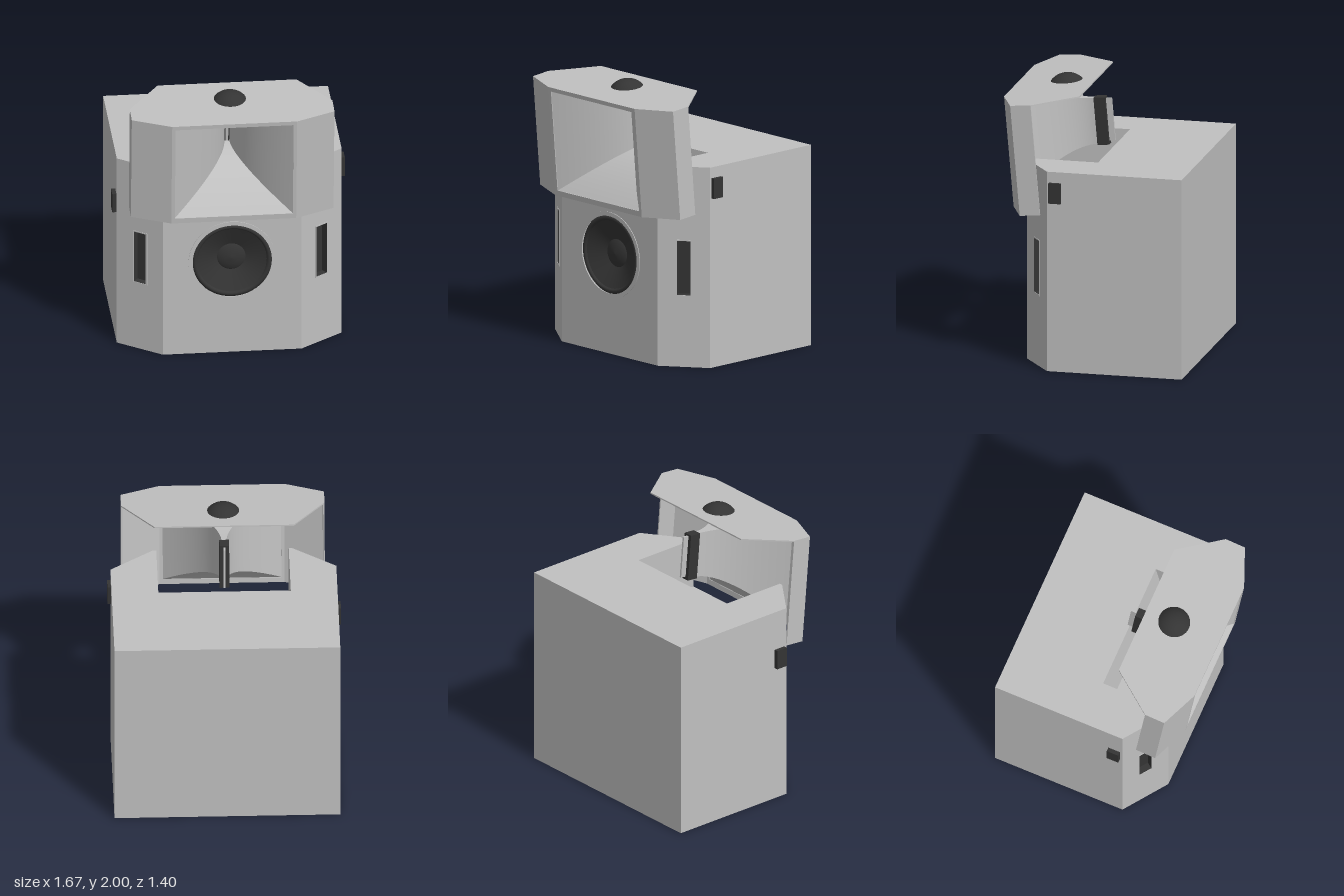
import * as THREE from 'three';

const shell = new THREE.MeshStandardMaterial({ color: 0xc0c0c0, side: THREE.DoubleSide });
shell.name = 'light grey shell';
const dark = new THREE.MeshStandardMaterial({ color: 0x343434, side: THREE.DoubleSide });
dark.name = 'charcoal';

function add(parent, name, geometry, material, x = 0, y = 0, z = 0) {
  const mesh = new THREE.Mesh(geometry, material);
  mesh.name = name;
  mesh.position.set(x, y, z);
  parent.add(mesh);
  return mesh;
}

const polygon = (pts) => new THREE.Shape(pts.map(([x, y]) => new THREE.Vector2(x, y)));

// Flat four-cornered face, corners counter-clockwise seen from outside
function quad(a, b, c, d) {
  const g = new THREE.BufferGeometry();
  g.setAttribute('position', new THREE.Float32BufferAttribute([...a, ...b, ...c, ...d], 3));
  g.setIndex([0, 1, 2, 0, 2, 3]);
  g.computeVertexNormals();
  return g;
}

function circleHole(r, x = 0, y = 0) {
  return new THREE.Path().absarc(x, y, r, 0, Math.PI * 2, true);
}

function createCabinet() {
  const g = new THREE.Group();
  g.name = 'cabinet';
  const W = 0.81, H = 1.48, back = -0.7, edge = 0.295, front = 0.52, fx = 0.5;
  const nx = 0.475, ny = 1.105, nzTop = 0, nzLow = 0.055;

  // Front baffle with speaker opening and cut-out for the horn
  const baffle = polygon([[-fx, 0], [fx, 0], [fx, H], [nx, H], [nx, ny], [-nx, ny], [-nx, H], [-fx, H]]);
  baffle.holes.push(circleHole(0.29, 0, 0.73));
  add(g, 'frontBaffle', new THREE.ShapeGeometry(baffle, 48), shell, 0, 0, front);

  // Top and bottom panels
  const top = polygon([[-W, -back], [-W, -edge], [-fx, -front], [-nx, -front], [-nx, -nzTop],
    [nx, -nzTop], [nx, -front], [fx, -front], [W, -edge], [W, -back]]);
  add(g, 'topPanel', new THREE.ShapeGeometry(top).rotateX(-Math.PI / 2), shell, 0, H, 0);
  const bottom = polygon([[-W, back], [W, back], [W, edge], [fx, front], [-fx, front], [-W, edge]]);
  add(g, 'bottomPanel', new THREE.ShapeGeometry(bottom).rotateX(Math.PI / 2), shell);

  // Back, sides and the walls of the horn bay
  add(g, 'backPanel', quad([W, 0, back], [-W, 0, back], [-W, H, back], [W, H, back]), shell);
  add(g, 'rightPanel', quad([-W, 0, back], [-W, 0, edge], [-W, H, edge], [-W, H, back]), shell);
  add(g, 'leftPanel', quad([W, 0, edge], [W, 0, back], [W, H, back], [W, H, edge]), shell);
  add(g, 'bayFloor', quad([-nx, ny, front], [nx, ny, front], [nx, ny, nzLow], [-nx, ny, nzLow]), shell);
  add(g, 'bayBack', quad([-nx, ny, nzLow], [nx, ny, nzLow], [nx, H, nzTop], [-nx, H, nzTop]), shell);
  add(g, 'bayRight', quad([-nx, ny, front], [-nx, ny, nzLow], [-nx, H, nzTop], [-nx, H, front]), shell);
  add(g, 'bayLeft', quad([nx, ny, nzLow], [nx, ny, front], [nx, H, front], [nx, H, nzTop]), shell);

  // Angled front corners, each with a recessed port
  const len = Math.hypot(W - fx, front - edge), angle = Math.atan2(front - edge, W - fx);
  const pw = 0.1, ph = 0.4, py = 0.73;
  for (const s of [1, -1]) {
    const corner = new THREE.Group();
    corner.name = s > 0 ? 'leftCorner' : 'rightCorner';
    corner.position.set(s * (W + fx) / 2, 0, (edge + front) / 2);
    corner.rotation.y = s * angle;
    g.add(corner);
    const face = polygon([[-len / 2, 0], [len / 2, 0], [len / 2, H], [-len / 2, H]]);
    face.holes.push(new THREE.Path([[-1, -1], [-1, 1], [1, 1], [1, -1]].map(
      ([x, y]) => new THREE.Vector2(x * pw / 2, py + y * ph / 2))));
    add(corner, 'cornerPanel', new THREE.ShapeGeometry(face), shell);
    add(corner, 'portBack', new THREE.PlaneGeometry(pw, ph), dark, 0, py, -0.05);
    for (const k of [1, -1]) {
      add(corner, 'portSide', new THREE.PlaneGeometry(0.05, ph).rotateY(-k * Math.PI / 2), dark, k * pw / 2, py, -0.025);
      add(corner, 'portEnd', new THREE.PlaneGeometry(pw, 0.05).rotateX(k * Math.PI / 2), dark, 0, py + k * ph / 2, -0.025);
    }
    // Slim frame around the port
    const frame = polygon([[-0.062, -0.208], [0.062, -0.208], [0.062, 0.208], [-0.062, 0.208]]);
    frame.holes.push(new THREE.Path([[-1, -1], [-1, 1], [1, 1], [1, -1]].map(
      ([x, y]) => new THREE.Vector2(x * pw / 2, y * ph / 2))));
    add(corner, 'portFrame', new THREE.ExtrudeGeometry(frame, { depth: 0.003, bevelEnabled: false }), shell, 0, py, 0);
  }

  // Side blocks, set at different heights
  add(g, 'leftSideBlock', new THREE.BoxGeometry(0.03, 0.15, 0.09), dark, 0.82, 1.325, 0.235);
  add(g, 'rightSideBlock', new THREE.BoxGeometry(0.03, 0.145, 0.09), dark, -0.825, 1.11, 0.23);
  return g;
}

function createWoofer() {
  const g = new THREE.Group();
  g.name = 'woofer';
  g.position.set(0, 0.73, 0.52);
  const ring = new THREE.Shape().absarc(0, 0, 0.315, 0, Math.PI * 2, false);
  ring.holes.push(circleHole(0.285));
  add(g, 'wooferRing', new THREE.ExtrudeGeometry(ring, { depth: 0.005, bevelEnabled: false, curveSegments: 48 }), shell);
  const lathe = (pts) => new THREE.LatheGeometry(pts.map(([x, y]) => new THREE.Vector2(x, y)), 48).rotateX(Math.PI / 2);
  add(g, 'surround', lathe([[0.25, -0.012], [0.257, 0], [0.268, 0.003], [0.279, 0], [0.29, -0.012]]), dark);
  add(g, 'cone', lathe([[0.1, -0.075], [0.18, -0.042], [0.25, -0.012]]), dark);
  add(g, 'dustCap', lathe([[0, -0.048], [0.05, -0.053], [0.09, -0.066], [0.105, -0.076]]), dark);
  return g;
}

function createHead() {
  const g = new THREE.Group();
  g.name = 'hornHead';
  g.position.set(0, 1.107, 0.63);
  g.rotation.x = THREE.MathUtils.degToRad(5);
  const H = 0.815, t = 0.01;

  // Thin lid
  const lid = polygon([[-0.45, 0], [0.45, 0], [0.73, 0.115], [0.73, 0.265], [0.5, 0.57],
    [-0.5, 0.57], [-0.73, 0.265], [-0.73, 0.115]]);
  add(g, 'lid', new THREE.ExtrudeGeometry(lid, { depth: t, bevelEnabled: false }).rotateX(-Math.PI / 2), shell, 0, H - t, 0);

  // Mouth frame
  const frame = polygon([[-0.45, 0], [0.45, 0], [0.45, H - t], [-0.45, H - t]]);
  frame.holes.push(new THREE.Path([[-0.425, 0.04], [-0.425, 0.785], [0.425, 0.785], [0.425, 0.04]]
    .map(([x, y]) => new THREE.Vector2(x, y))));
  add(g, 'mouthFrame', new THREE.ExtrudeGeometry(frame, { depth: t, bevelEnabled: false }), shell, 0, 0, -t);

  // Wings: an angled cheek and a short side on each side
  for (const s of [1, -1]) {
    const len = Math.hypot(0.28, 0.115), a = Math.atan2(0.115, 0.28);
    const cheek = add(g, 'wingCheek', new THREE.BoxGeometry(len, H - t, t), shell,
      s * (0.59 - Math.sin(a) * t / 2), (H - t) / 2, -0.0575 - Math.cos(a) * t / 2);
    cheek.rotation.y = s * a;
    add(g, 'wingSide', new THREE.BoxGeometry(t, H - t, 0.15), shell, s * (0.73 - t / 2), (H - t) / 2, -0.19);
  }

  // Flared horn: four curved walls from a narrow throat slot to the mouth
  const section = (v) => {
    const f = Math.pow(v, 1.8);
    return { w: 0.018 + 0.407 * f, low: 0.34 - 0.3 * f, high: 0.68 + 0.105 * f, z: -0.545 + 0.54 * v };
  };
  const corner = (k, c) => [[-c.w, c.low], [c.w, c.low], [c.w, c.high], [-c.w, c.high]][k % 4];
  ['hornBottom', 'hornLeft', 'hornTop', 'hornRight'].forEach((name, k) => {
    const geo = new THREE.PlaneGeometry(1, 1, 1, 20);
    const p = geo.attributes.position;
    for (let i = 0; i < p.count; i++) {
      const c = section(p.getY(i) + 0.5);
      const [x, y] = corner(p.getX(i) < 0 ? k : k + 1, c);
      p.setXYZ(i, x, y, c.z);
    }
    geo.computeVertexNormals();
    add(g, name, geo, shell);
  });

  // Driver behind the slot, with its fin
  add(g, 'driver', new THREE.BoxGeometry(0.07, 0.35, 0.085), dark, 0, 0.51, -0.59);
  add(g, 'slotStrip', new THREE.BoxGeometry(0.02, 0.335, 0.008), shell, 0, 0.51, -0.544);
  add(g, 'driverFin', new THREE.BoxGeometry(0.015, 0.315, 0.045), shell, 0, 0.515, -0.653);

  // Dome on the lid
  const R = 0.153, dome = new THREE.SphereGeometry(R, 40, 10, 0, Math.PI * 2, 0, Math.asin(0.115 / R));
  add(g, 'dome', dome, dark, 0, H + 0.052 - R, -0.353);
  return g;
}

export function createModel() {
  const model = new THREE.Group();
  model.name = 'hornSpeaker';
  model.add(createCabinet(), createWoofer(), createHead());
  return model;
}
